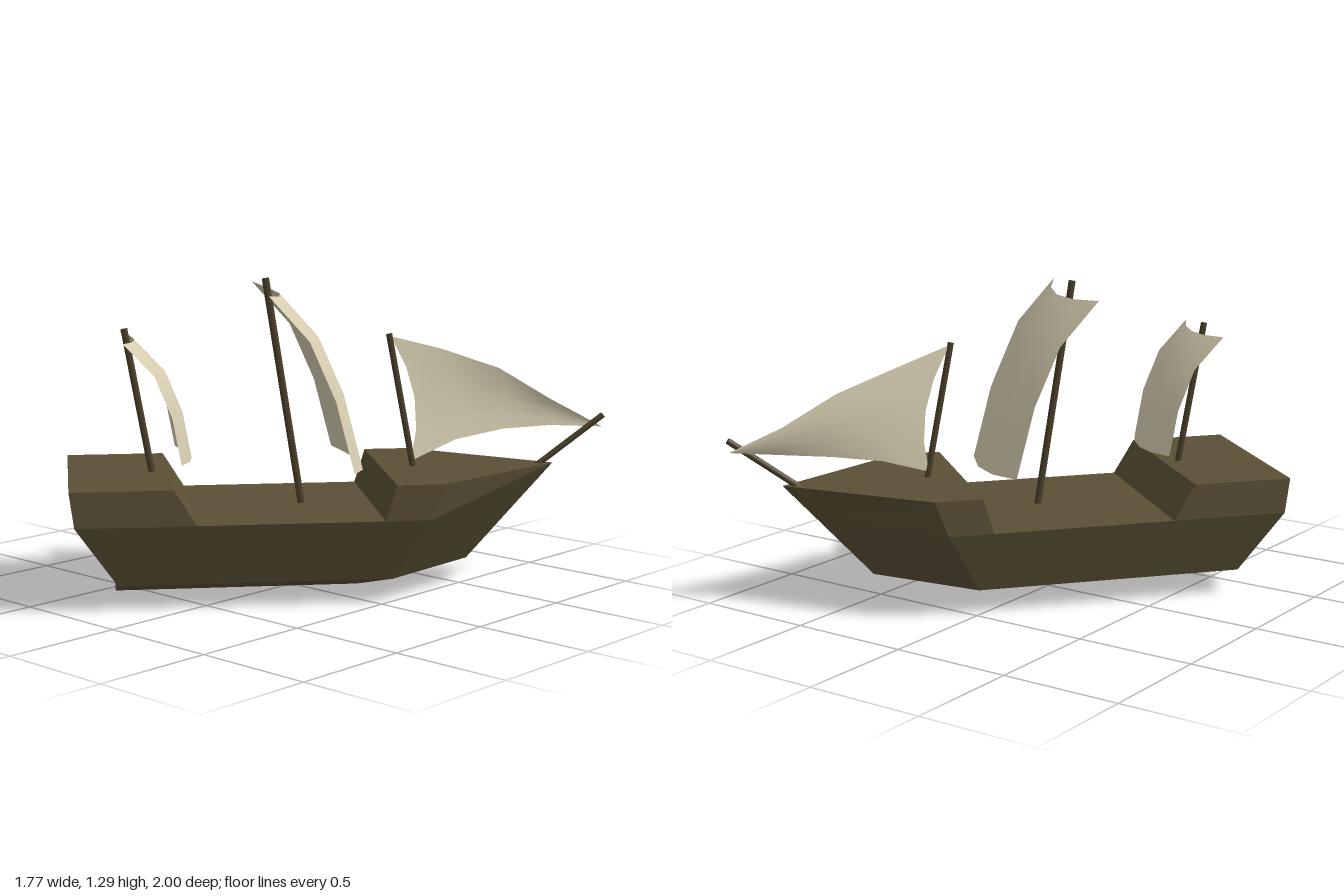
import * as THREE from 'three';

const wood = new THREE.MeshStandardMaterial({ name: 'hullWood', color: 0x5a5035, flatShading: true });
const spar = new THREE.MeshStandardMaterial({ name: 'mastWood', color: 0x4a4029 });
const canvas = new THREE.MeshStandardMaterial({ name: 'sailCanvas', color: 0xd8cfb2, side: THREE.DoubleSide });

// Ship space: x runs forward from the stern, y up, z to starboard.

// Stack of matching outlines joined by walls, with a flat cap on top.
function loft(name, rings) {
  const pos = [];
  const tri = (a, b, c) => pos.push(...a, ...b, ...c);
  for (let k = 0; k + 1 < rings.length; k++) {
    const lo = rings[k], hi = rings[k + 1], n = lo.length;
    for (let i = 0; i < n; i++) {
      const j = (i + 1) % n;
      if (lo[i] !== lo[j]) tri(lo[i], lo[j], hi[j]);
      tri(lo[i], hi[j], hi[i]);
    }
  }
  const top = rings[rings.length - 1];
  for (let i = 1; i + 1 < top.length; i++) tri(top[0], top[i], top[i + 1]);
  const g = new THREE.BufferGeometry();
  g.setAttribute('position', new THREE.Float32BufferAttribute(pos, 3));
  g.computeVertexNormals();
  const mesh = new THREE.Mesh(g, wood);
  mesh.name = name;
  return mesh;
}

// Outline with square stern, parallel sides and an optional pointed bow.
function outline(y, half, stern, shoulder, tip) {
  const pts = [[stern, y, -half], [stern, y, half], [shoulder, y, half]];
  if (tip) pts.push([tip, y, 0]);
  pts.push([shoulder, y, -half]);
  return pts;
}

// Thin round pole between two points on the centre line.
function pole(name, x0, y0, x1, y1, r) {
  const a = new THREE.Vector3(x0, y0, 0), d = new THREE.Vector3(x1, y1, 0).sub(a);
  const mesh = new THREE.Mesh(new THREE.CylinderGeometry(r, r, d.length(), 8), spar);
  mesh.position.copy(a).addScaledVector(d, 0.5);
  mesh.quaternion.setFromUnitVectors(new THREE.Vector3(0, 1, 0), d.normalize());
  mesh.name = name;
  return mesh;
}

// Cloth surface sampled from a rule (s, t) => [x, y, z].
function cloth(name, cols, rows, rule) {
  const g = new THREE.PlaneGeometry(1, 1, cols, rows);
  const p = g.attributes.position, uv = g.attributes.uv;
  for (let i = 0; i < p.count; i++) p.setXYZ(i, ...rule(uv.getX(i), 1 - uv.getY(i)));
  g.computeVertexNormals();
  const mesh = new THREE.Mesh(g, canvas);
  mesh.name = name;
  return mesh;
}

// Piecewise-linear sample of a list of points.
function sample(list, t) {
  const f = t * (list.length - 1), i = Math.min(Math.floor(f), list.length - 2);
  return list[i].map((v, k) => v + (list[i + 1][k] - v) * (f - i));
}

// Square sail: side profile swept across with a forward belly.
function squareSail(name, profile, half, belly, sag) {
  return cloth(name, 4, profile.length - 1, (s, t) => {
    const [x, y] = sample(profile, t), w = 2 * s - 1, b = 1 - w * w;
    return [x + belly * b, y - sag * b, 0.035 + w * half];
  });
}

export function createModel() {
  const ship = new THREE.Group();
  ship.name = 'ship';

  // Hull, with a keel line below the chines
  const k0 = [0.188, 0, 0], k1 = [1.2, 0, 0];
  ship.add(loft('hull', [
    [k0, k0, k1, k1, k1],
    outline(0.1, 0.335, 0.19, 1.295, 1.665),
    outline(0.355, 0.418, 0.02, 1.434, 1.897),
  ]));
  // Raised decks fore and aft
  ship.add(loft('sternDeck', [outline(0.355, 0.418, 0.02, 0.5), outline(0.5, 0.418, 0, 0.41)]));
  ship.add(loft('bowDeck', [
    outline(0.355, 0.418, 1.25, 1.434, 1.897),
    outline(0.5, 0.418, 1.295, 1.49, 2.03),
  ]));

  // Masts raked aft and the bowsprit
  ship.add(pole('mainMast', 0.965, 0.34, 0.815, 1.29, 0.015));
  ship.add(pole('rearMast', 0.352, 0.45, 0.237, 1.09, 0.014));
  ship.add(pole('foreMast', 1.442, 0.45, 1.328, 1.055, 0.013));
  ship.add(pole('bowsprit', 1.9, 0.445, 2.243, 0.7, 0.013));

  // Square sails
  ship.add(squareSail('mainSail',
    [[0.79, 1.25], [0.95, 1.07], [1.055, 0.83], [1.13, 0.54]], 0.337, 0.08, 0.02));
  ship.add(squareSail('rearSail',
    [[0.223, 1.06], [0.345, 0.93], [0.415, 0.76], [0.45, 0.57]], 0.234, 0.055, 0.01));

  // Triangular fore sail, bellied to port
  const head = [[1.335, 1.045, 0], [1.566, 0.98, -0.08], [1.82, 0.89, -0.11], [2.035, 0.76, -0.085], [2.24, 0.65, 0]];
  const foot = [[1.425, 0.52, 0], [1.63, 0.595, -0.075], [1.84, 0.632, -0.1], [2.035, 0.647, -0.08], [2.24, 0.65, 0]];
  ship.add(cloth('foreSail', 4, 4, (s, t) => {
    const a = sample(head, s), b = sample(foot, s), bulge = 4 * t * (1 - t) * (1 - s);
    const p = a.map((v, k) => v + (b[k] - v) * t);
    return [p[0] + 0.063 * bulge, p[1], p[2] - 0.03 * bulge];
  }));

  // Heading of the ship
  ship.rotation.y = 0.874;
  ship.position.set(-0.57, 0, 0.73);
  const model = new THREE.Group();
  model.add(ship);
  return model;
}
